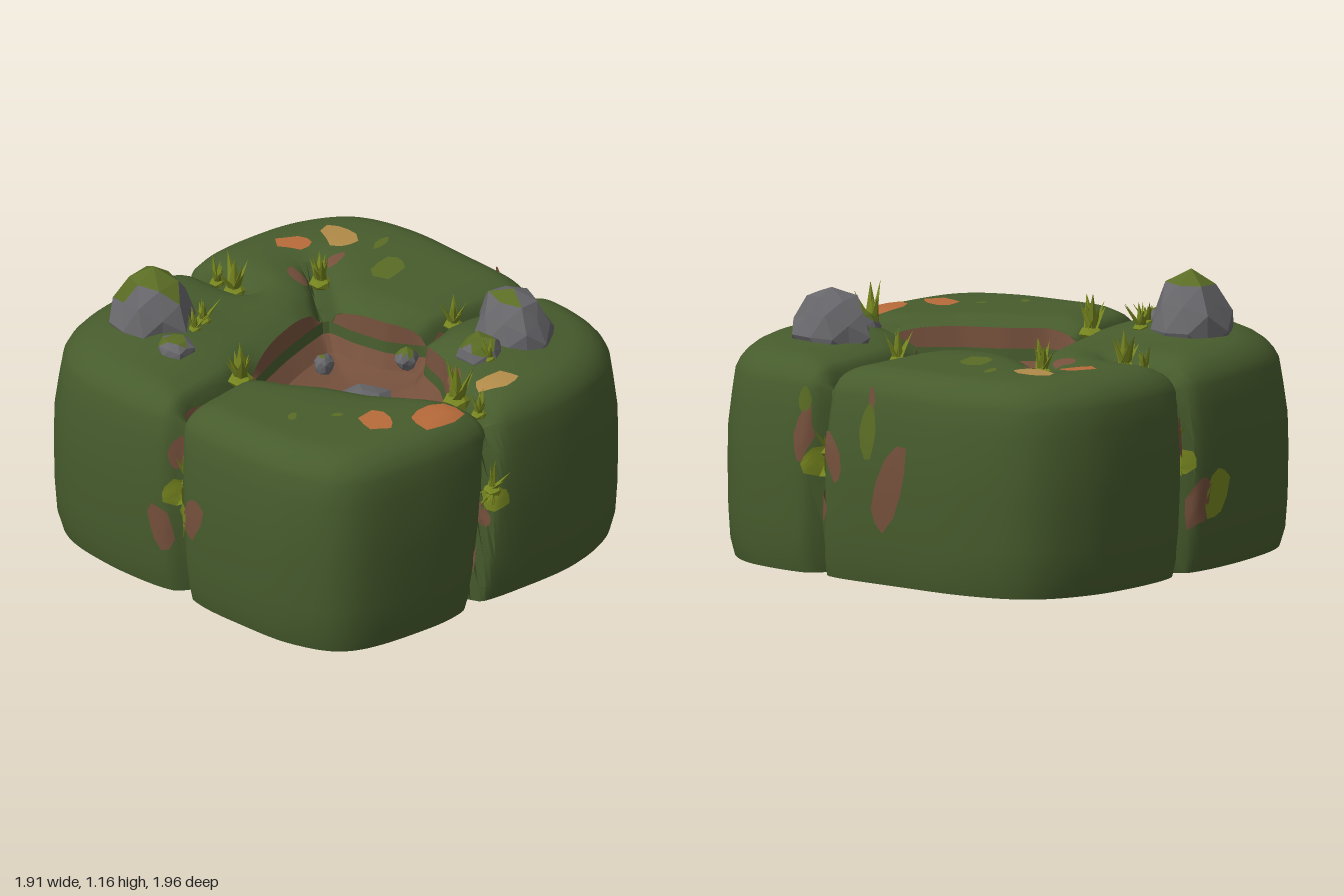
import * as THREE from 'three';
import { toCreasedNormals } from 'three/addons/utils/BufferGeometryUtils.js';

const paint = (name, color) => {
  const m = new THREE.MeshStandardMaterial({ color, side: THREE.DoubleSide });
  m.name = name;
  return m;
};
const seeded = (s) => () => {
  s = (s * 16807 + 11) % 2147483647;
  return s / 2147483647;
};

// Radius by angle around (0, 0.1) for a closed smooth outline of [x, z] points
const CZ = 0.1;
function outline(points, tension) {
  const curve = new THREE.CatmullRomCurve3(
    points.map(([x, z]) => new THREE.Vector3(x, 0, z)), true, 'catmullrom', tension);
  const polar = curve.getPoints(160).slice(0, 160)
    .map((p) => [Math.atan2(p.z - CZ, p.x), Math.hypot(p.x, p.z - CZ)])
    .sort((a, b) => a[0] - b[0]);
  const first = polar[0], last = polar[polar.length - 1];
  polar.unshift([last[0] - 2 * Math.PI, last[1]]);
  polar.push([first[0] + 2 * Math.PI, first[1]]);
  return (angle) => {
    const a = Math.atan2(Math.sin(angle), Math.cos(angle));
    const i = polar.findIndex((p) => p[0] > a);
    const [p, q] = [polar[i - 1], polar[i]];
    return p[1] + (q[1] - p[1]) * (a - p[0]) / (q[0] - p[0]);
  };
}
const outer = outline([[0.93, 0.25], [0.92, 0.45], [0.87, 0.72], [0.7, 0.9], [0.4, 0.98], [0, 0.95],
  [-0.4, 0.93], [-0.75, 0.84], [-0.89, 0.62], [-0.93, 0.3], [-0.94, -0.04], [-0.96, -0.4], [-0.91, -0.7],
  [-0.72, -0.89], [-0.4, -0.95], [0, -0.94], [0.35, -0.93], [0.62, -0.87], [0.83, -0.72], [0.92, -0.45], [0.93, -0.1]], 0.5);
const rim = outline([[0.34, 0.22], [0.22, 0.3], [0.17, 0.45], [0.02, 0.64], [-0.1, 0.59], [-0.24, 0.42], [-0.32, 0.25],
  [-0.42, 0.1], [-0.43, -0.09], [-0.12, -0.2], [0.18, -0.26], [0.2, -0.12], [0.24, 0.05]], 0.2);

// Crevices between the mounds: [x1, z1, x2, z2, sideways drift of x and z toward the ground]
const crevices = [
  [0, 0.55, 0, 1.1, -0.12, 0], [0, -0.58, -0.02, -1.1, 0.03, 0],
  [-0.35, -0.08, -1.1, -0.04, 0, 0.05], [0.3, 0.21, 1.1, 0.31, 0, 0.03], [0.15, -0.22, 0.33, -0.46, 0, 0],
];
function crease(x, z, y = 0.88) {
  let best = 0;
  for (const [x1, z1, x2, z2, dx, dz] of crevices) {
    const k = 1 - y / 0.88, ax = x - dx * k - x1, az = z - dz * k - z1, bx = x2 - x1, bz = z2 - z1;
    const t = THREE.MathUtils.clamp((ax * bx + az * bz) / (bx * bx + bz * bz), 0, 1);
    const d = Math.hypot(ax - t * bx, az - t * bz);
    best = Math.max(best, 0.75 * Math.exp(-((d / 0.03) ** 2)) + 0.25 * Math.exp(-((d / 0.1) ** 2)));
  }
  return best;
}
const bump = (x, z, cx, cz, r) => Math.exp(-((x - cx) ** 2 + (z - cz) ** 2) / (r * r));

// A point on the mossy top at (x, z)
function topPoint(x, z, lift = 0) {
  const r = Math.hypot(x, z - CZ), a = Math.atan2(z - CZ, x), R = outer(a);
  const u = THREE.MathUtils.clamp((r / R - 0.82) / 0.16, 0, 1), c = crease(x, z);
  const y = 0.885 - 0.16 * (1 - Math.sqrt(1 - u * u)) - 0.17 * c * (1 - u * u)
    + 0.055 * bump(x, z, -0.52, -0.5, 0.22) + 0.045 * bump(x, z, 0.4, 0.53, 0.22)
    - 0.04 * Math.exp(-(((r - rim(a)) / 0.05) ** 2));
  const k = 1 - 0.09 * c * u / r;
  return [x * k, y + lift, CZ + (z - CZ) * k];
}
// A point on the outer wall at an angle and height
const wallRows = [[0.985, 0.68], [1, 0.55], [1.003, 0.4], [1, 0.2], [0.992, 0.07], [0.975, 0]];
function wallPoint(a, y, lift = 0) {
  const i = Math.max(1, wallRows.findIndex((w) => w[1] <= y));
  const [k0, y0] = wallRows[i - 1], [k1, y1] = wallRows[i];
  const r = outer(a) * (k0 + (k1 - k0) * (y - y0) / (y1 - y0));
  const p = r - 0.09 * crease(r * Math.cos(a), CZ + r * Math.sin(a), y) + lift;
  return [p * Math.cos(a), y, CZ + p * Math.sin(a)];
}

// Surface through closed rings listed from the inside outward
function loft(rows, n, at) {
  const pos = [], index = [];
  for (let i = 0; i < rows; i++) for (let j = 0; j < n; j++) {
    pos.push(...at(i, j / n * Math.PI * 2));
    if (i === rows - 1) continue;
    const a = i * n + j, c = i * n + (j + 1) % n;
    index.push(a, c, a + n, c, c + n, a + n);
  }
  const g = new THREE.BufferGeometry();
  g.setAttribute('position', new THREE.Float32BufferAttribute(pos, 3));
  g.setIndex(index);
  return toCreasedNormals(g, 0.6);
}

export function createModel() {
  const model = new THREE.Group();
  const moss = paint('moss green', 0x475c2d), soil = paint('soil brown', 0x75503c);
  const stone = paint('stone grey', 0x67676b), lichen = paint('olive lichen', 0x5a6c24);
  const leaf = paint('leaf green', 0x76851f), orange = paint('orange leaf', 0xb86b3a), tan = paint('tan leaf', 0xb08a48);
  const add = (name, geo, mat, parent = model) => {
    const m = new THREE.Mesh(geo, mat);
    m.name = name;
    parent.add(m);
    return m;
  };

  // Hollow mossy shell: top, rounded shoulder and outer wall
  const flat = [0, 0.06, 0.16, 0.3, 0.45, 0.6, 0.75, 0.88, 1], round = [0.25, 0.5, 0.7, 0.85, 0.95];
  const nTop = flat.length + round.length;
  add('mossyMounds', loft(nTop + wallRows.length, 264, (i, a) => {
    if (i >= nTop) return wallPoint(a, wallRows[i - nTop][1]);
    const R = outer(a), P = rim(a);
    const r = i < flat.length ? P + (0.82 * R - P) * flat[i] : R * (0.82 + 0.16 * round[i - flat.length]);
    return topPoint(r * Math.cos(a), CZ + r * Math.sin(a));
  }), moss);

  // Sunken pit: soil floor, a mossy band on its steep side and a soil lip
  const pitRing = (name, mat, rows) => add(name, loft(rows.length, 88, (i, a) => {
    const r = rim(a) * rows[i][0], x = r * Math.cos(a), z = CZ + r * Math.sin(a);
    return rows[i][0] === 1 ? topPoint(x, z) : [x, rows[i][1], z];
  }), mat);
  pitRing('soilPit', soil, [[0.001, 0.62], [0.45, 0.62], [0.8, 0.65], [0.95, 0.71]]);
  pitRing('pitMossBand', moss, [[0.95, 0.71], [0.97, 0.76]]);
  pitRing('pitLip', soil, [[0.97, 0.76], [1, 0]]);

  // Faceted rocks, with lichen on some upward faces
  const rock = (name, x, y, z, rx, ry, rz, seed, mossy) => {
    const src = new THREE.IcosahedronGeometry(1, 1).attributes.position, faces = [[], []];
    const v = new THREE.Vector3();
    for (let f = 0; f < src.count; f += 3) {
      const tri = [];
      let up = 0, wave = 0;
      for (let k = 0; k < 3; k++) {
        v.fromBufferAttribute(src, f + k);
        up += v.y / 3;
        wave += Math.sin(v.x * 6 + seed) * Math.cos(v.z * 6 + seed) / 3;
        const s = 1 + 0.1 * Math.sin(v.x * 5 + seed * 2) * Math.cos(v.z * 6 + seed) + 0.05 * Math.sin(v.y * 7 + seed);
        tri.push(v.x * s * rx, v.y * s * ry, v.z * s * rz);
      }
      faces[up + wave * 0.7 > 1 - mossy ? 1 : 0].push(...tri);
    }
    const g = new THREE.BufferGeometry();
    g.setAttribute('position', new THREE.Float32BufferAttribute(faces.flat(), 3));
    g.addGroup(0, faces[0].length / 3, 0);
    g.addGroup(faces[0].length / 3, faces[1].length / 3, 1);
    g.computeVertexNormals();
    add(name, g, [stone, lichen]).position.set(x, y, z);
  };
  rock('backRock', -0.5, 0.92, -0.57, 0.17, 0.22, 0.175, 1, 0.3);
  rock('backSmallRock', -0.6, 0.9, -0.34, 0.08, 0.06, 0.08, 4, 0.3);
  rock('frontRock', 0.48, 0.92, 0.54, 0.145, 0.18, 0.18, 2, 0.12);
  rock('frontSmallRock', 0.27, 0.9, 0.56, 0.1, 0.075, 0.09, 3, 0.4);
  rock('pitRock', -0.11, 0.66, 0.25, 0.14, 0.1, 0.12, 5, 0);
  rock('pitPebble', 0.04, 0.66, -0.12, 0.045, 0.05, 0.04, 6, 0);
  rock('pitPebble', 0.23, 0.73, 0.17, 0.05, 0.05, 0.045, 7, 0.4);

  // Thin irregular patches laid on the surface; at(u, v) maps local offsets to a point
  let seed = 5;
  const patch = (name, mat, ru, rv, turn, at) => {
    const rand = seeded(seed++ * 7919), wob = Array.from({ length: 10 }, () => 0.8 + rand() * 0.35);
    add(name, loft(4, 10, (i, a) => {
      const k = (i + 0.001) / 3 * wob[Math.round(a / Math.PI * 5)];
      const u = ru * k * Math.cos(a), v = rv * k * Math.sin(a);
      return at(u * Math.cos(turn) - v * Math.sin(turn), u * Math.sin(turn) + v * Math.cos(turn));
    }), mat);
  };
  const topPatch = (name, mat, x, z, ru, rv, turn) =>
    patch(name, mat, ru, rv, turn, (u, v) => topPoint(x + u, z + v, 0.008));
  const wallPatch = (name, mat, x, z, y, ru, rv, turn) => {
    const a = Math.atan2(z - CZ, x), R = outer(a);
    patch(name, mat, ru, rv, turn, (u, v) => wallPoint(a + u / R, y + v, 0.009));
  };
  topPatch('fallenLeaf', orange, -0.42, 0.65, 0.068, 0.085, 0.3);
  topPatch('fallenLeaf', orange, -0.21, 0.78, 0.125, 0.09, 0);
  topPatch('fallenLeaf', orange, 0.38, -0.64, 0.08, 0.05, 0.7);
  topPatch('fallenLeaf', tan, 0.16, 0.76, 0.1, 0.055, 0.5);
  topPatch('fallenLeaf', tan, 0.55, -0.54, 0.07, 0.095, 0.5);
  topPatch('lichenPatch', lichen, 0.5, -0.21, 0.1, 0.06, -0.4);
  topPatch('lichenPatch', lichen, 0.63, -0.38, 0.055, 0.02, -0.2);
  topPatch('lichenPatch', lichen, -0.64, 0.38, 0.03, 0.02, -0.6);
  topPatch('lichenPatch', lichen, -0.5, 0.5, 0.025, 0.015, 0.6);
  topPatch('soilPatch', soil, 0.22, -0.45, 0.035, 0.07, 0.3);
  topPatch('soilPatch', soil, 0.42, -0.44, 0.05, 0.03, 0);
  topPatch('soilPatch', soil, -0.74, -0.06, 0.12, 0.025, 0);
  topPatch('soilPatch', soil, 0.1, 0.58, 0.03, 0.05, 0.5);
  topPatch('soilPatch', soil, 0.38, 0.22, 0.05, 0.03, 0);

  // Sprouts of broad leaf blades, growing along a direction
  const sprout = (x, y, z, dir, size, count = 8) => {
    const g = new THREE.Group(), rand = seeded(seed++ * 104729);
    g.name = 'sprout';
    for (let i = 0; i < count; i++) {
      const h = size * (0.6 + 0.4 * rand()), blade = new THREE.ConeGeometry(size * 0.17, h, 4, 2);
      blade.translate(0, h / 2, 0).scale(1, 1, 0.5);
      blade.rotateX(0.05 + rand() * 0.6).rotateY(i * 2.4 + rand());
      add('blade', toCreasedNormals(blade, 0.3), leaf, g);
    }
    add('clump', new THREE.IcosahedronGeometry(size * 0.28, 0).scale(1, 0.6, 1), leaf, g);
    g.position.set(x, y, z);
    g.quaternion.setFromUnitVectors(new THREE.Vector3(0, 1, 0), new THREE.Vector3(...dir).normalize());
    model.add(g);
  };
  const tops = [[0, 0.69, 0.22], [0, -0.6, 0.18], [-0.5, -0.06, 0.2], [0.3, -0.4, 0.18], [-0.37, -0.41, 0.13],
    [0.44, 0.23, 0.15], [-0.01, 0.83, 0.12], [0, -0.7, 0.12], [0.25, 0.63, 0.1], [-0.45, -0.38, 0.1]];
  for (const [x, z, s] of tops) sprout(x, Math.max(0.83, topPoint(x, z)[1]), z, [0, 1, 0], s);

  // Every wall crevice carries sprouts and a lichen patch
  for (const [x, z] of [[-0.01, 0.95], [0, -0.94], [-0.94, -0.03], [0.93, 0.31]]) {
    const a = Math.atan2(z - CZ, x), [px, , pz] = wallPoint(a, 0.5, -0.01), c = Math.cos(a), s = Math.sin(a);
    sprout(px, 0.51, pz, [c * 0.15, 1, s * 0.15], 0.15, 7);
    sprout(px, 0.5, pz, [c * 0.2 - s * 0.7, -0.3, s * 0.2 + c * 0.7], 0.09, 6);
    wallPatch('lichenPatch', leaf, x, z, 0.47, 0.055, 0.06, 0.5);
  }
  // Bare soil and lichen on the walls: [material, x, z, y, half width, half height, turn]
  for (const [mat, ...spec] of [
    [soil, 0.93, -0.09, 0.41, 0.07, 0.19, 0.3], [lichen, 0.93, 0.02, 0.64, 0.045, 0.12, 0],
    [soil, 0.93, 0.01, 0.77, 0.015, 0.05, 0],
    [soil, 0.93, 0.37, 0.58, 0.035, 0.12, 0.1], [soil, 0.93, 0.21, 0.52, 0.045, 0.12, -0.3],
    [soil, 0.93, 0.27, 0.29, 0.035, 0.07, 0], [lichen, 0.93, 0.37, 0.73, 0.025, 0.06, 0],
    [soil, -0.07, 0.95, 0.42, 0.03, 0.08, -0.4], [soil, -0.12, 0.95, 0.22, 0.015, 0.08, 0],
    [leaf, -0.15, -0.94, 0.32, 0.065, 0.12, 0.3], [soil, -0.06, -0.94, 0.3, 0.05, 0.12, 0.2],
    [soil, 0.05, -0.94, 0.58, 0.03, 0.09, 0],
    [soil, -0.94, 0.1, 0.42, 0.06, 0.1, 0.2], [soil, -0.94, -0.09, 0.3, 0.045, 0.1, -0.2],
    [leaf, -0.94, 0.01, 0.38, 0.05, 0.09, 0], [soil, -0.94, -0.05, 0.65, 0.03, 0.08, 0],
  ]) wallPatch(mat === soil ? 'soilPatch' : 'lichenPatch', mat, ...spec);
  return model;
}
